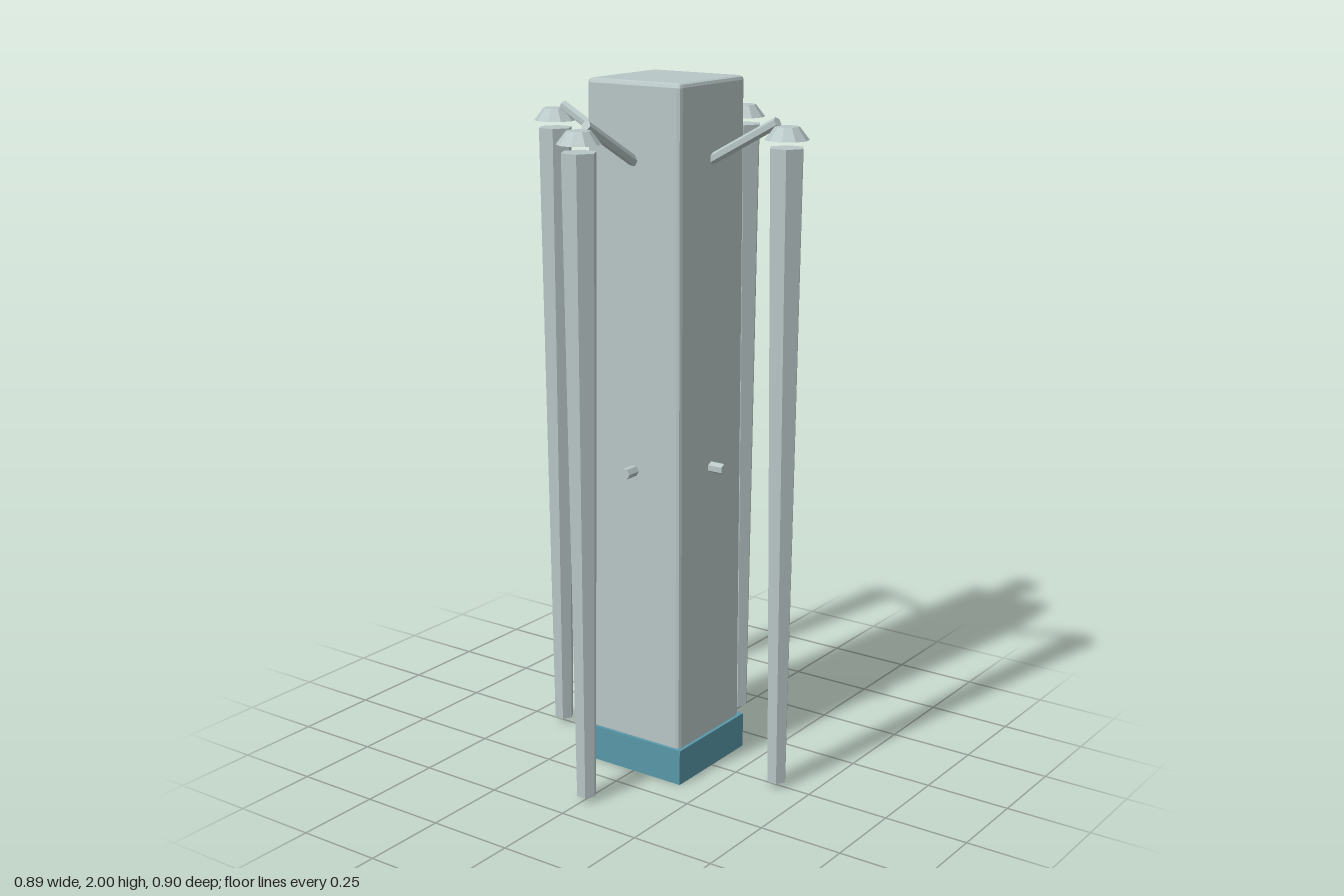
import * as THREE from 'three';
import { RoundedBoxGeometry } from 'three/addons/geometries/RoundedBoxGeometry.js';

const stone = new THREE.MeshStandardMaterial({ color: 0xb8c6c6 });
stone.name = 'pale grey';
const teal = new THREE.MeshStandardMaterial({ color: 0x5898a8 });
teal.name = 'teal';

// Faceted normals for the low-poly look
function faceted(geometry) {
  const g = geometry.index ? geometry.toNonIndexed() : geometry;
  g.computeVertexNormals();
  return g;
}

function part(name, geometry, material, x, y, z) {
  const mesh = new THREE.Mesh(faceted(geometry), material);
  mesh.name = name;
  mesh.position.set(x, y, z);
  return mesh;
}

// Hexagonal rod between two points
function rod(name, from, to, radius) {
  const dir = to.clone().sub(from);
  const mid = from.clone().add(to).multiplyScalar(0.5);
  const mesh = part(name, new THREE.CylinderGeometry(radius, radius, dir.length(), 6), stone, mid.x, mid.y, mid.z);
  mesh.quaternion.setFromUnitVectors(new THREE.Vector3(0, 1, 0), dir.normalize());
  return mesh;
}

export function createModel() {
  const model = new THREE.Group();
  model.name = 'tower';

  // Central shaft with narrow chamfers, on a square plinth
  model.add(part('shaft', new RoundedBoxGeometry(0.31, 1.92, 0.31, 1, 0.012), stone, 0, 1.04, 0));
  model.add(part('plinth', new THREE.BoxGeometry(0.33, 0.105, 0.33), teal, 0, 0.0525, 0));

  // One hanging tube, cap, arm and peg per side
  for (const [dx, dz] of [[1, 0], [-1, 0], [0, 1], [0, -1]]) {
    const at = (r, y) => new THREE.Vector3(dx * r, y, dz * r);
    const side = new THREE.Group();
    side.name = 'hangingTubeAssembly';
    const x = dx * 0.39, z = dz * 0.39;
    side.add(part('tube', new THREE.CylinderGeometry(0.05, 0.029, 1.82, 6), stone, x, 0.925, z));
    side.add(part('cap', new THREE.CylinderGeometry(0.033, 0.06, 0.035, 10), stone, x, 1.873, z));
    side.add(rod('arm', at(0.15, 1.785), at(0.36, 1.9), 0.015));
    side.add(rod('peg', at(0.14, 0.917), at(0.2, 0.917), 0.016));
    model.add(side);
  }
  return model;
}
